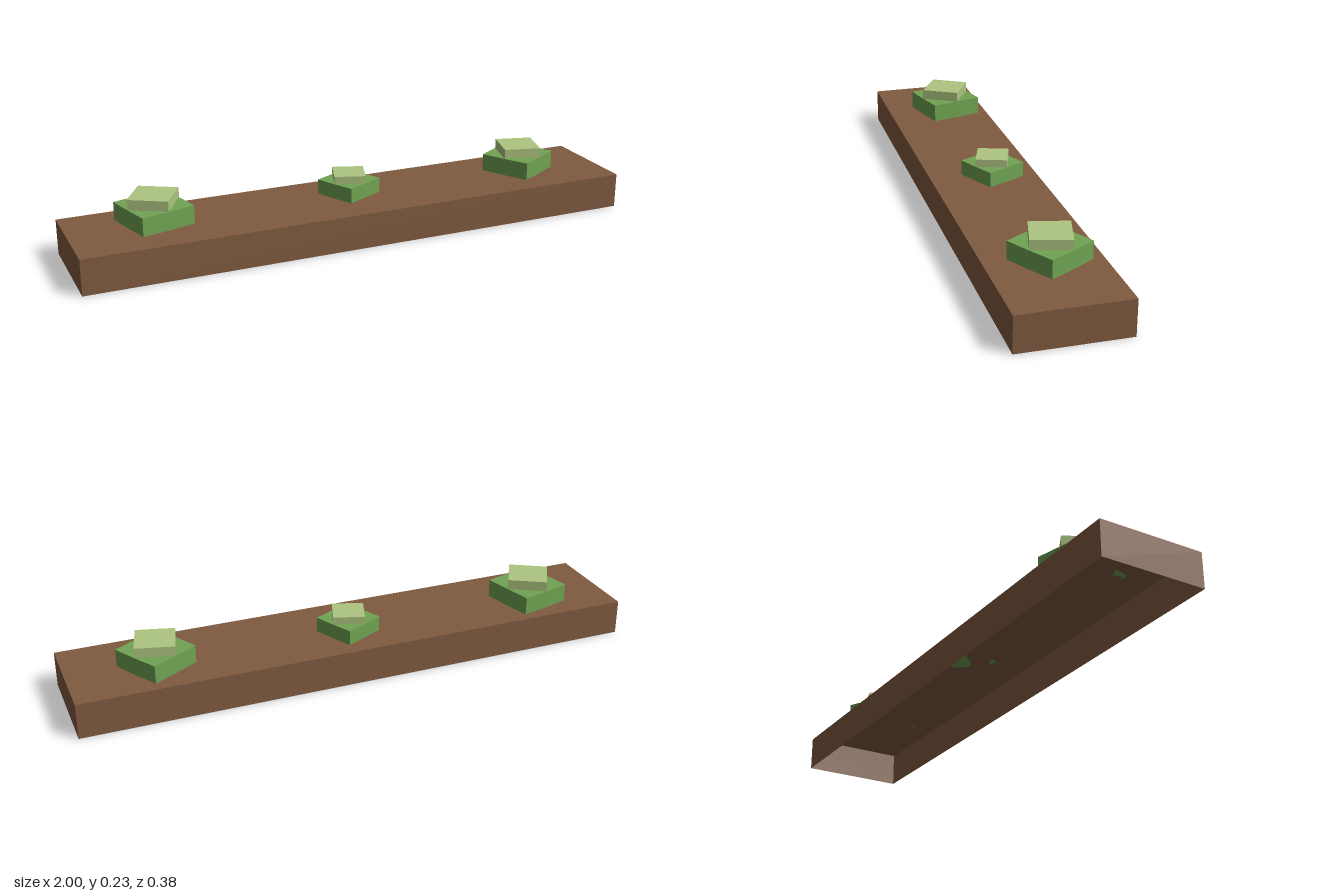
import * as THREE from 'three';

const soil = new THREE.MeshStandardMaterial({ color: 0x805b40, side: THREE.DoubleSide });
soil.name = 'earth brown';
const leaf = new THREE.MeshStandardMaterial({ color: 0x70a352 });
leaf.name = 'leaf green';
const tip = new THREE.MeshStandardMaterial({ color: 0xaec680 });
tip.name = 'pale green';

// Flat prism over points on circles: radii repeat around, starting at the given angle (x towards z)
function prism(radii, sides, start, y0, y1) {
  const points = [];
  for (let i = 0; i < sides; i++) {
    const a = start + (i / sides) * Math.PI * 2;
    const r = radii[i % radii.length];
    points.push(new THREE.Vector2(r * Math.cos(a), -r * Math.sin(a)));
  }
  const geo = new THREE.ExtrudeGeometry(new THREE.Shape(points), { depth: y1 - y0, bevelEnabled: false });
  return geo.rotateX(-Math.PI / 2).translate(0, y0, 0);
}

function addMesh(parent, name, geometry, material) {
  const mesh = new THREE.Mesh(geometry, material);
  mesh.name = name;
  parent.add(mesh);
}

export function createModel() {
  const model = new THREE.Group();
  model.name = 'plantedBed';

  // Thin-walled bed, open underneath (the bottom face is left out)
  const bed = new THREE.BoxGeometry(2, 0.125, 0.375).translate(0, 0.0625, 0);
  const index = Array.from(bed.index.array);
  index.splice(18, 6);
  bed.setIndex(index);
  bed.clearGroups();
  addMesh(model, 'bed', bed, soil);

  // Three tufts: a wide leafy block with a smaller turned block on top
  const tufts = [
    { name: 'rightPlant', x: -0.7, z: -0.034, outer: 0.138, inner: 0.099, turn: 30, mid: 0.19, top: 0.226 },
    { name: 'middlePlant', x: 0.01, z: -0.032, outer: 0.109, inner: 0.078, turn: 19, mid: 0.178, top: 0.205 },
    { name: 'leftPlant', x: 0.695, z: -0.021, outer: 0.132, inner: 0.095, turn: 15, mid: 0.188, top: 0.223 },
  ];
  for (const t of tufts) {
    const plant = new THREE.Group();
    plant.name = t.name;
    plant.position.set(t.x, 0, t.z);
    const angle = THREE.MathUtils.degToRad(t.turn);
    addMesh(plant, 'lowerLeaves', prism([t.outer, t.inner], 8, angle, 0.125, t.mid), leaf);
    addMesh(plant, 'upperLeaves', prism([t.inner], 4, angle + Math.PI / 4, t.mid, t.top), tip);
    model.add(plant);
  }
  return model;
}
